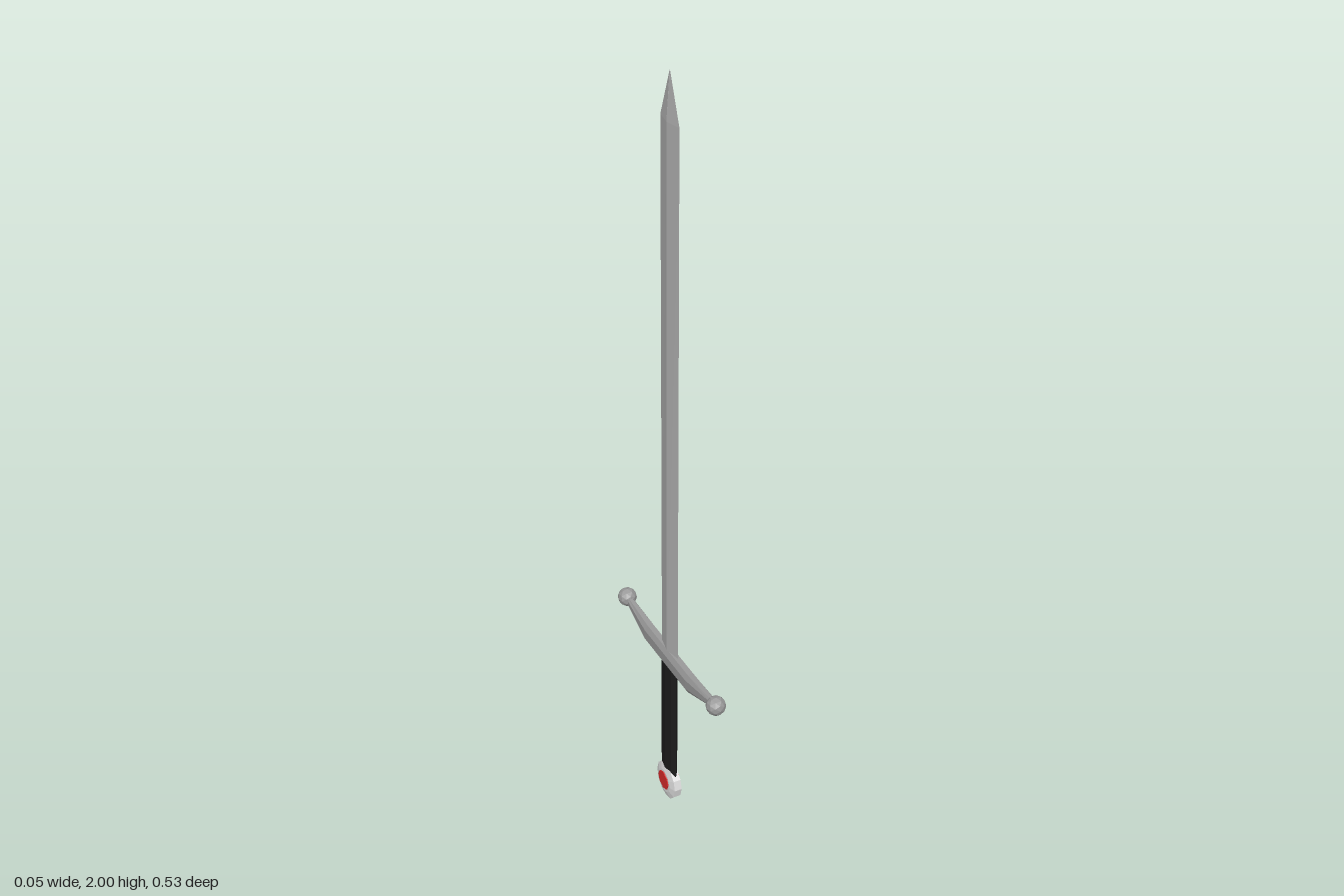
import * as THREE from 'three';

const mat = (name, color) => {
  const m = new THREE.MeshStandardMaterial({ color, flatShading: true });
  m.name = name;
  return m;
};

// Skin a row of matching cross-sections, counter-clockwise seen from the last one
function loft(rings) {
  const pos = [];
  const tri = (a, b, c) => pos.push(...a, ...b, ...c);
  const n = rings[0].length;
  for (let r = 0; r < rings.length - 1; r++) {
    for (let i = 0; i < n; i++) {
      const j = (i + 1) % n, a = rings[r], b = rings[r + 1];
      tri(a[i], a[j], b[j]);
      tri(a[i], b[j], b[i]);
    }
  }
  const first = rings[0], last = rings[rings.length - 1];
  for (let i = 1; i < n - 1; i++) {
    tri(first[0], first[i + 1], first[i]);
    tri(last[0], last[i], last[i + 1]);
  }
  const g = new THREE.BufferGeometry();
  g.setAttribute('position', new THREE.Float32BufferAttribute(pos, 3));
  g.computeVertexNormals();
  return g;
}

export function createModel() {
  const steel = mat('blade steel', 0xb0b0b0);
  const iron = mat('guard iron', 0x999999);
  const silver = mat('pommel silver', 0xdcdcdc);
  const leather = mat('black leather', 0x1c1c1c);
  const ruby = mat('red gem', 0xd92b2b);

  const group = new THREE.Group();
  const add = (name, geometry, material) => {
    const mesh = new THREE.Mesh(geometry, material);
    mesh.name = name;
    group.add(mesh);
    return mesh;
  };

  // Blade: diamond section, short pointed tip
  const diamond = (y, w, t) => [[t, y, 0], [0, y, -w], [-t, y, 0], [0, y, w]];
  add('blade', loft([
    diamond(0.46, 0.043, 0.009),
    diamond(1.89, 0.043, 0.008),
    diamond(2.0, 0.0005, 0.0005),
  ]), steel);

  // Crossguard: chamfered bar, thin upswept arms
  const bar = (z, bottom, top, w) => {
    const f = w * 0.5, c = (top - bottom) * 0.25;
    return [[w, bottom + c, z], [w, top - c, z], [f, top, z], [-f, top, z],
      [-w, top - c, z], [-w, bottom + c, z], [-f, bottom, z], [f, bottom, z]];
  };
  add('crossguard', loft([
    bar(-0.23, 0.483, 0.503, 0.008),
    bar(-0.11, 0.441, 0.495, 0.015),
    bar(0.11, 0.441, 0.495, 0.015),
    bar(0.23, 0.483, 0.503, 0.008),
  ]), iron);

  // Faceted knobs at the ends of the guard
  for (const side of [1, -1]) {
    add(side > 0 ? 'frontKnob' : 'backKnob', new THREE.IcosahedronGeometry(0.025, 1), iron)
      .position.set(0, 0.495, side * 0.24);
  }

  // Grip: flattened octagonal column
  const grip = add('grip', new THREE.CylinderGeometry(1, 1, 0.36, 8), leather);
  grip.scale.set(0.013, 1, 0.037);
  grip.position.set(0, 0.27, -0.002);

  // Pommel: bevelled disc lying across the blade
  const profile = [[0, -0.016], [0.034, -0.016], [0.054, -0.01], [0.054, 0.01], [0.034, 0.016], [0, 0.016]]
    .map(([r, h]) => new THREE.Vector2(r, h));
  const pommel = add('pommel', new THREE.LatheGeometry(profile, 12), silver);
  pommel.rotation.z = Math.PI / 2;
  pommel.scale.z = 0.93;
  pommel.position.set(0, 0.055, -0.002);

  // Gem set through both faces of the pommel
  const gem = add('gem', new THREE.CylinderGeometry(0.027, 0.027, 0.037, 8), ruby);
  gem.rotation.z = Math.PI / 2;
  gem.position.set(0, 0.057, -0.003);

  return group;
}
